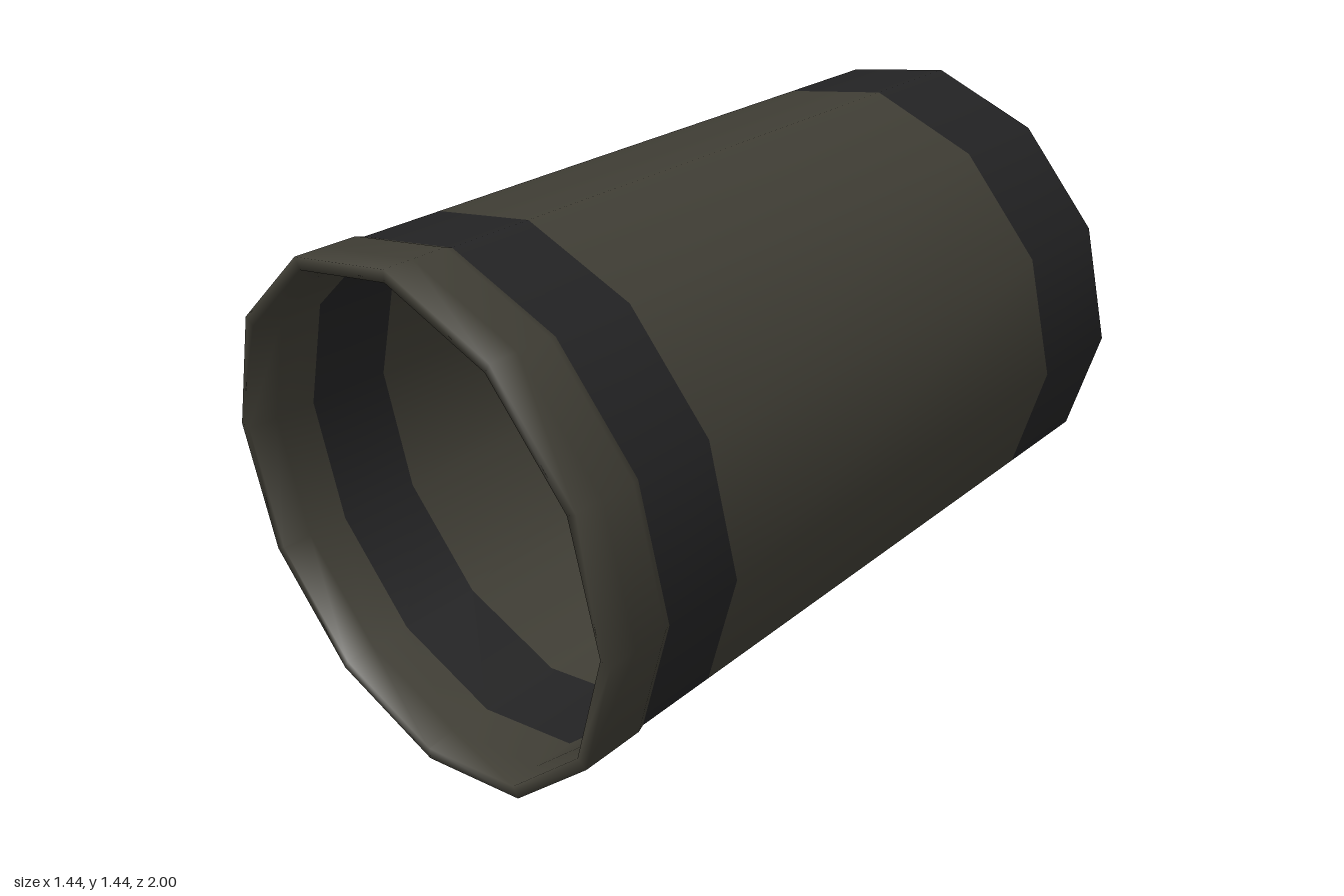
import * as THREE from 'three';

const olive = new THREE.MeshStandardMaterial({ color: 0x413f36 });
olive.name = 'olive drab';
const black = new THREE.MeshStandardMaterial({ color: 0x242425 });
black.name = 'soft black';

const SIDES = 12;
const CENTRE_Y = 0.72;

// Wall radii along the taper
const outer = (z) => 0.676 + 0.036 * z;
const inner = (z) => 0.648 + 0.03 * z;

// Turns a [radius, z] profile around the cup's axis, which runs along z
function ring(name, material, profile) {
  const points = profile.map(([r, z]) => new THREE.Vector2(r, z));
  const geometry = new THREE.LatheGeometry(points, SIDES);
  geometry.rotateX(Math.PI / 2);
  geometry.translate(0, CENTRE_Y, 0);
  const mesh = new THREE.Mesh(geometry, material);
  mesh.name = name;
  return mesh;
}

export function createModel() {
  const cup = new THREE.Group();
  cup.name = 'cup';

  // Outer wall, with a dark base and a dark band under the rim
  const wall = (name, material, z0, z1) =>
    cup.add(ring(name, material, [[outer(z0), z0], [outer(z1), z1]]));
  wall('baseBand', black, -1, -0.72);
  wall('outerWall', olive, -0.72, 0.575);
  wall('outerBand', black, 0.575, 0.805);

  // Flat base
  cup.add(ring('base', black, [[0, -1], [outer(-1), -1]]));

  // Thickened rim, rolled over the mouth
  cup.add(ring('rim', olive, [
    [outer(0.805), 0.805], [0.713, 0.825], [0.717, 0.92], [0.72, 1],
    [0.686, 1], [inner(0.9), 0.92], [inner(0.805), 0.805],
  ]));

  // Inner wall with its band
  const lining = (name, material, z0, z1) =>
    cup.add(ring(name, material, [[inner(z0), z0], [inner(z1), z1]]));
  lining('innerBand', black, 0.805, 0.575);
  lining('innerWall', olive, 0.575, -0.72);

  // Dark bottom of the inside
  cup.add(ring('innerFloor', black, [
    [inner(-0.72), -0.72], [inner(-0.95), -0.95], [0, -0.95],
  ]));

  return cup;
}
